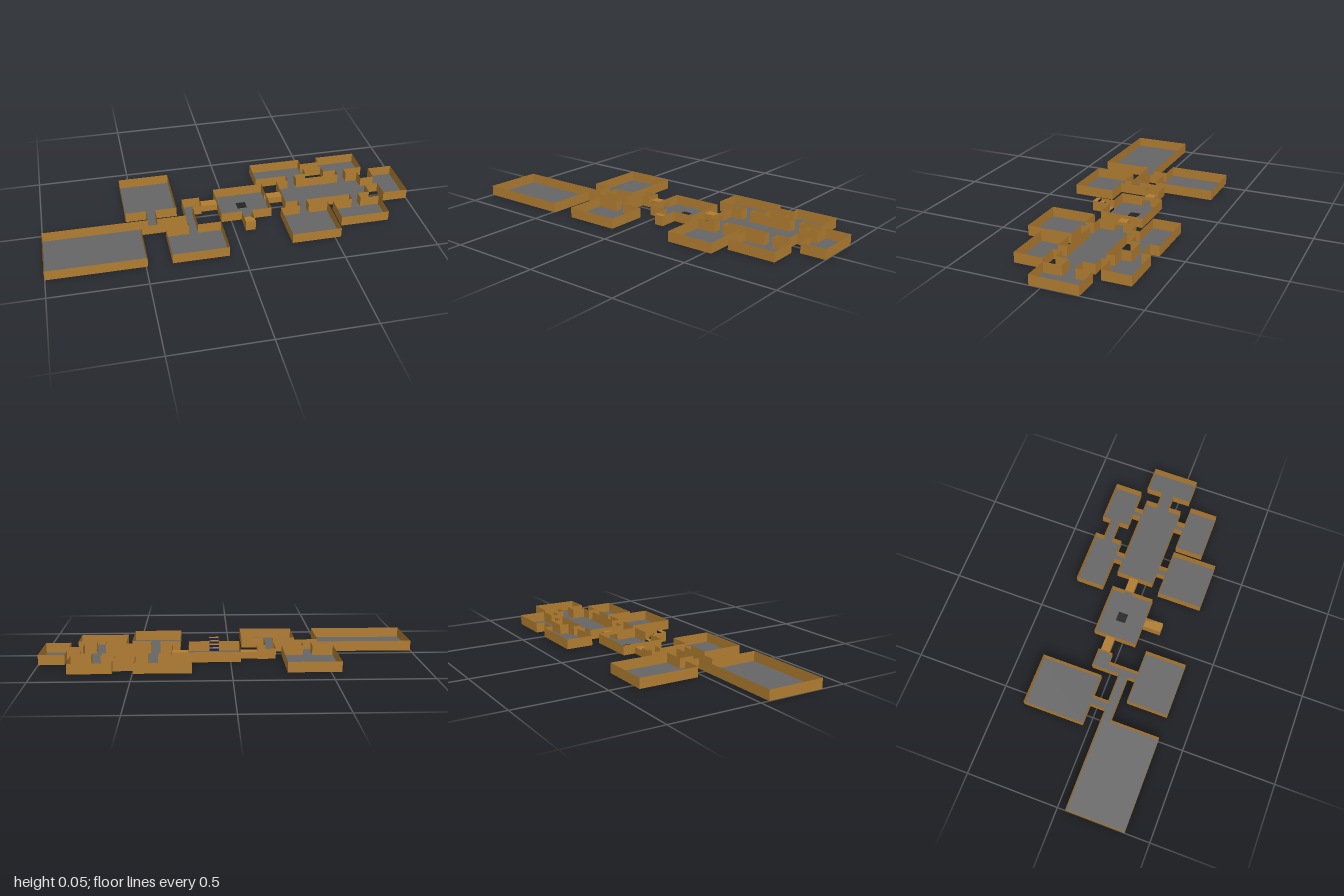
import * as THREE from 'three';
import { mergeGeometries } from 'three/addons/utils/BufferGeometryUtils.js';

const H = 0.055;        // wall height
const LOW = 0.036;      // tunnel height

// each space: name, x0, x1, z0, z1, kind
const SPACES = [
  ['greatRoom', -1, -0.49, 0.047, 0.365],
  ['northWestRoom', -0.557, -0.28, -0.367, -0.035],
  ['southWestRoom', -0.365, -0.07, 0.14, 0.365],
  ['entranceRoom', -0.055, 0.222, -0.163, 0.072],
  ['mainHall', 0.31, 0.788, -0.168, 0.037],
  ['northRoom', 0.202, 0.495, -0.367, -0.215],
  ['northEastRoom', 0.602, 0.828, -0.367, -0.215],
  ['eastRoom', 0.863, 1, -0.192, 0.062],
  ['southRoom', 0.27, 0.533, 0.085, 0.33],
  ['southEastRoom', 0.565, 0.828, 0.085, 0.238],
  ['northLink', 0.495, 0.602, -0.318, -0.268],
  ['northPassage', 0.378, 0.427, -0.215, -0.168],
  ['northEastPassage', 0.673, 0.722, -0.215, -0.168],
  ['eastPassage', 0.788, 0.863, -0.104, -0.035],
  ['southPassage', 0.378, 0.427, 0.037, 0.085],
  ['southEastPassage', 0.673, 0.722, 0.037, 0.085],
  ['westCorner', -0.194, -0.145, -0.104, -0.025],
  ['westCorridor', -0.242, -0.194, -0.104, 0.14],
  ['greatCorridor', -0.49, -0.242, 0.047, 0.098],
  ['northWestPassage', -0.446, -0.397, -0.035, 0.047],
  ['westTunnel', -0.145, -0.055, -0.094, -0.045, 'tunnel'],
  ['eastTunnel', 0.222, 0.31, -0.094, -0.045, 'tunnel'],
  ['stairs', 0.057, 0.11, 0.072, 0.173, 'stairs'],
].map(([name, x0, x1, z0, z1, kind = 'room']) => ({ name, x0, x1, z0, z1, kind }));

const mat = (color) => new THREE.MeshStandardMaterial({ color, side: THREE.DoubleSide });

// horizontal sheet facing up
function sheet(x0, x1, z0, z1, y) {
  return new THREE.PlaneGeometry(x1 - x0, z1 - z0).rotateX(-Math.PI / 2)
    .translate((x0 + x1) / 2, y, (z0 + z1) / 2);
}

// upright sheet on a line of constant x or z, from a to b
function upright(axis, at, a, b, y0, y1) {
  const g = new THREE.PlaneGeometry(b - a, y1 - y0);
  const mid = (a + b) / 2, y = (y0 + y1) / 2;
  return axis === 'x' ? g.rotateY(Math.PI / 2).translate(at, y, mid) : g.translate(mid, y, at);
}

// the four sides of a space, left open where a neighbour touches
function wallsOf(s) {
  const parts = [];
  const top = s.kind === 'tunnel' ? LOW : H;
  for (const [axis, along] of [['x', 'z'], ['z', 'x']]) {
    for (const end of ['0', '1']) {
      const at = s[axis + end], a = s[along + '0'], b = s[along + '1'];
      const opposite = axis + (end === '0' ? '1' : '0');
      const gaps = SPACES
        .filter((o) => o !== s && Math.abs(o[opposite] - at) < 1e-4)
        .map((o) => [Math.max(a, o[along + '0']), Math.min(b, o[along + '1']), o.kind])
        .filter(([p, q]) => q - p > 1e-4)
        .sort((m, n) => m[0] - n[0]);
      let from = a;
      for (const [p, q, kind] of gaps) {
        if (p - from > 1e-4) parts.push(upright(axis, at, from, p, 0, top));
        // lintel above a low tunnel
        if (kind === 'tunnel') parts.push(upright(axis, at, p, q, LOW, H));
        from = q;
      }
      if (b - from > 1e-4) parts.push(upright(axis, at, from, b, 0, top));
    }
  }
  return parts;
}

export function createModel() {
  const model = new THREE.Group();
  const brown = mat(0xb07c30), grey = mat(0x666666), dark = mat(0x242424), navy = mat(0x0a1a4a);
  const add = (group, name, geometry, material) => {
    const mesh = new THREE.Mesh(geometry, material);
    mesh.name = name;
    group.add(mesh);
  };

  for (const s of SPACES) {
    const group = new THREE.Group();
    group.name = s.name;
    model.add(group);
    add(group, 'walls', mergeGeometries(wallsOf(s)), brown);
    add(group, 'floor', sheet(s.x0, s.x1, s.z0, s.z1, 0), grey);
    if (s.kind === 'tunnel') add(group, 'roof', sheet(s.x0, s.x1, s.z0, s.z1, LOW), brown);
    if (s.kind === 'stairs') {
      // steps climbing away from the entrance room
      const n = 4, depth = (s.z1 - s.z0) / n, rise = H / n;
      for (let i = 0; i < n; i++) {
        const z = s.z0 + i * depth, y = (i + 1) * rise;
        add(group, 'tread', sheet(s.x0, s.x1, z, z + depth, y), brown);
        add(group, 'riser', upright('z', z, s.x0, s.x1, y - rise, y), navy);
      }
    }
  }

  // dark slab in the entrance room floor
  add(model, 'floorHatch', sheet(0.057, 0.11, -0.083, -0.03, 0.002), dark);
  return model;
}
